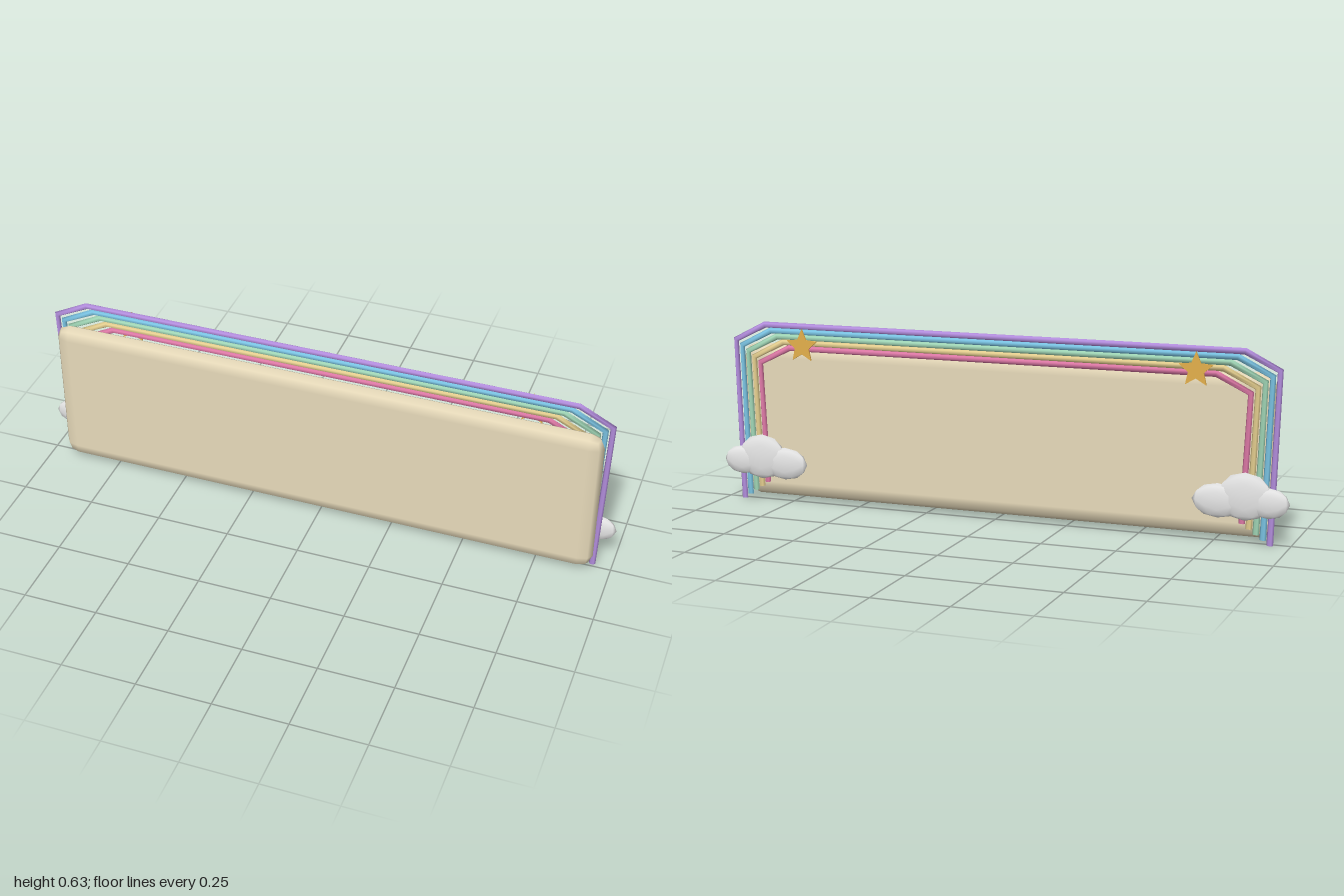
import * as THREE from 'three';
import { RoundedBoxGeometry } from 'three/addons/geometries/RoundedBoxGeometry.js';

const mat = (name, color) => {
  const m = new THREE.MeshStandardMaterial({ color });
  m.name = name;
  return m;
};

// Tube swept along a flat path, with an oval section and capped ends
function bandGeometry(path, rx, rz, sides = 6) {
  const pos = [], idx = [];
  path.forEach((p, i) => {
    const a = path[Math.max(i - 1, 0)], b = path[Math.min(i + 1, path.length - 1)];
    const d1 = p.clone().sub(a).normalize(), d2 = b.clone().sub(p).normalize();
    const t = d1.add(d2).normalize();
    for (let j = 0; j < sides; j++) {
      const u = (j / sides) * Math.PI * 2;
      pos.push(p.x - t.y * Math.cos(u) * rx, p.y + t.x * Math.cos(u) * rx, Math.sin(u) * rz);
    }
  });
  for (let i = 0; i < path.length - 1; i++) {
    for (let j = 0; j < sides; j++) {
      const a = i * sides + j, b = i * sides + (j + 1) % sides;
      idx.push(a, b, a + sides, b, b + sides, a + sides);
    }
  }
  const last = (path.length - 1) * sides;
  for (let j = 1; j < sides - 1; j++) {
    idx.push(0, j + 1, j, last, last + j, last + j + 1);
  }
  const g = new THREE.BufferGeometry();
  g.setAttribute('position', new THREE.Float32BufferAttribute(pos, 3));
  g.setIndex(idx);
  g.computeVertexNormals();
  return g;
}

function starGeometry(outer, inner, depth) {
  const shape = new THREE.Shape();
  for (let i = 0; i < 10; i++) {
    const r = i % 2 ? inner : outer, a = Math.PI / 2 + (i * Math.PI) / 5;
    shape[i ? 'lineTo' : 'moveTo'](Math.cos(a) * r, Math.sin(a) * r);
  }
  shape.closePath();
  return new THREE.ExtrudeGeometry(shape, { depth, bevelEnabled: false }).translate(0, 0, -depth / 2);
}

export function createModel() {
  const model = new THREE.Group();
  model.name = 'rainbowSign';
  const add = (parent, name, geometry, material, x = 0, y = 0, z = 0) => {
    const mesh = new THREE.Mesh(geometry, material);
    mesh.name = name;
    mesh.position.set(x, y, z);
    parent.add(mesh);
    return mesh;
  };

  // Rounded board
  const board = new RoundedBoxGeometry(1.88, 0.532, 0.094, 1, 0.047).scale(1, 1, 0.62);
  add(model, 'board', board, mat('cream', 0xe7daba), 0, 0.281, 0.021);

  // Nested rainbow bands, outermost first
  const bands = [
    ['purple', 0xb58fe0], ['blue', 0x7cc6e6], ['mint', 0xa2d8b8],
    ['yellow', 0xefd896], ['pink', 0xe07aa8],
  ];
  const rainbow = new THREE.Group();
  rainbow.name = 'rainbow';
  model.add(rainbow);
  bands.forEach(([name, color], i) => {
    const s = i * 0.023, v = i * 0.019;
    const half = [[0.935 - s, i * 0.016], [0.954 - s, 0.56 - v], [0.842 - s, 0.616 - v]];
    const path = [
      ...half.map(([x, y]) => new THREE.Vector2(-x, y)),
      ...half.slice().reverse().map(([x, y]) => new THREE.Vector2(x, y)),
    ];
    add(rainbow, name + 'Band', bandGeometry(path, 0.0108, 0.0088), mat(name, color), 0, 0, -0.015);
  });

  // Clouds at the feet and stars at the shoulders, on the back
  const white = mat('white', 0xf4f4f4), gold = mat('gold', 0xe4b04c);
  const puff = new THREE.IcosahedronGeometry(1, 1);
  const star = starGeometry(0.0587, 0.027, 0.006);
  const puffs = [
    [0.93, 0.14, 0.07, 0.05, 0.016],
    [0.855, 0.156, 0.09, 0.078, 0.017],
    [0.767, 0.137, 0.085, 0.056, 0.016],
  ];
  for (const side of [1, -1]) {
    const label = side > 0 ? 'left' : 'right';
    const cloud = new THREE.Group();
    cloud.name = label + 'Cloud';
    model.add(cloud);
    puffs.forEach(([x, y, rx, ry, rz], i) => {
      add(cloud, 'puff' + (i + 1), puff, white, side * x, y, -0.032).scale.set(rx, ry, rz);
    });
    add(model, label + 'Star', star, gold, side * 0.69, 0.552, -0.039);
  }
  return model;
}
